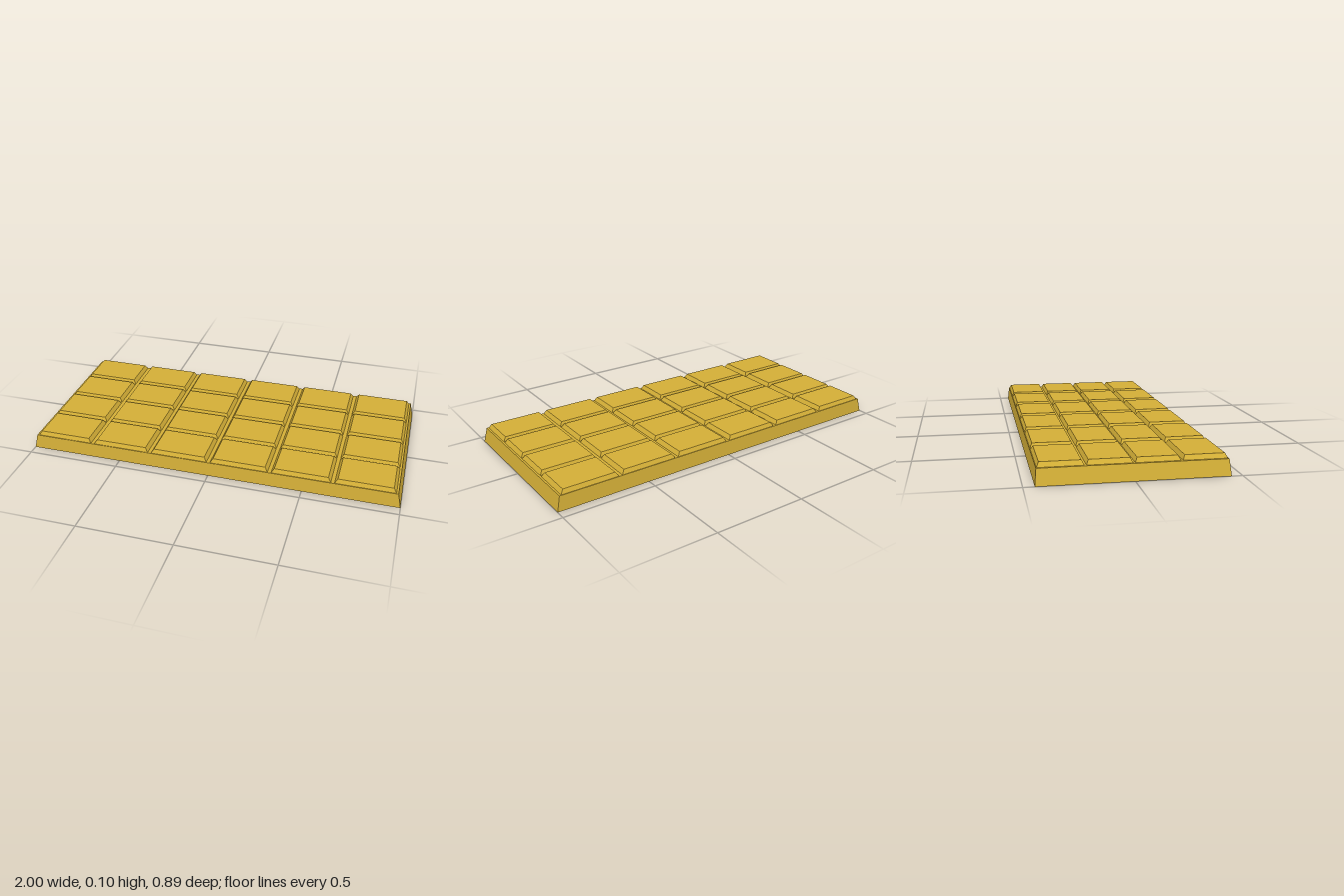
import * as THREE from 'three';

// Box standing on y = 0 whose top face is narrowed to topW x topD
function taperedBlock(w, d, topW, topD, h) {
  const geo = new THREE.BoxGeometry(w, h, d).translate(0, h / 2, 0);
  const p = geo.attributes.position;
  for (let i = 0; i < p.count; i++) {
    if (p.getY(i) > h / 2) {
      p.setX(i, p.getX(i) * topW / w);
      p.setZ(i, p.getZ(i) * topD / d);
    }
  }
  geo.computeVertexNormals();
  return geo;
}

export function createModel() {
  const model = new THREE.Group();
  model.name = 'segmentedBar';
  const material = new THREE.MeshStandardMaterial({ color: 0xd4af37, flatShading: true });

  // Slab with sloping sides
  const baseHeight = 0.078;
  const base = new THREE.Mesh(taperedBlock(2, 0.895, 1.964, 0.88, baseHeight), material);
  base.name = 'baseSlab';
  model.add(base);

  // 6 x 4 grid of bevelled segments, separated by grooves
  const columns = 6, rows = 4, pitchX = 0.327, pitchZ = 0.2207;
  const segments = new THREE.Group();
  segments.name = 'segments';
  const segmentGeo = taperedBlock(0.308, 0.211, 0.279, 0.19, 0.022);
  for (let c = 0; c < columns; c++) {
    for (let r = 0; r < rows; r++) {
      const segment = new THREE.Mesh(segmentGeo, material);
      segment.name = `segment_${c + 1}_${r + 1}`;
      segment.position.set((c - (columns - 1) / 2) * pitchX, baseHeight, (r - (rows - 1) / 2) * pitchZ);
      segments.add(segment);
    }
  }
  model.add(segments);
  return model;
}
